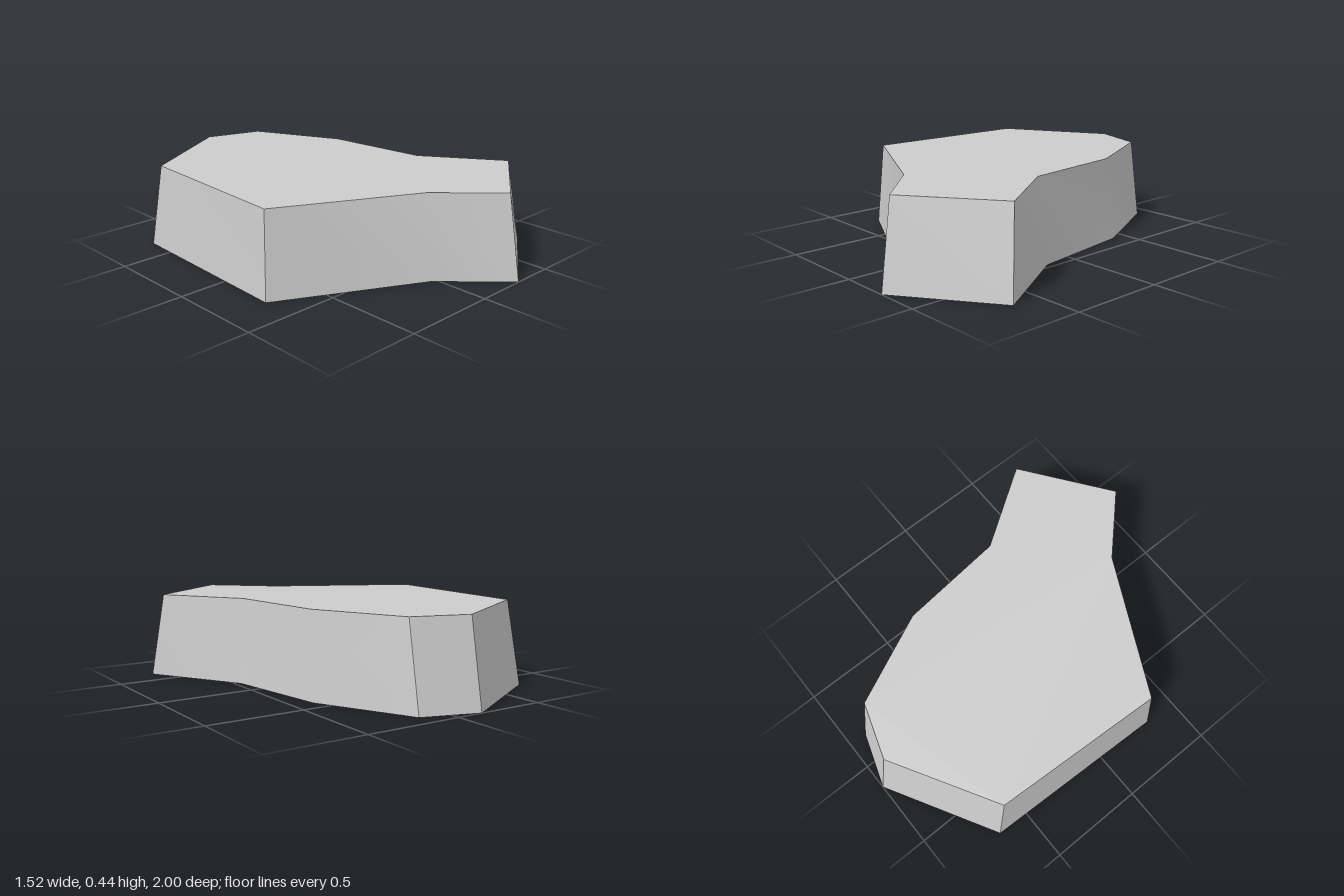
import * as THREE from 'three';
import { toCreasedNormals } from 'three/addons/utils/BufferGeometryUtils.js';

// Outline corners [x, z], clockwise seen from above
const BASE = [[-0.14, -1], [0.15, -0.905], [0.39, -0.41], [0.47, 0.165], [0.76, 0.655],
  [0.27, 1], [-0.03, 0.7], [-0.76, 0.325], [-0.72, -0.67]];
const RIM = [[-0.14, -0.918], [0.15, -0.825], [0.37, -0.36], [0.43, 0.195], [0.705, 0.6],
  [0.255, 0.93], [-0.03, 0.65], [-0.73, 0.295], [-0.68, -0.605]];
const HEIGHT = 0.443;

// Sloping band joining the base outline to the smaller top outline
function wallGeometry() {
  const positions = [];
  const low = (i) => [BASE[i][0], 0, BASE[i][1]];
  const high = (i) => [RIM[i][0], HEIGHT, RIM[i][1]];
  for (let i = 0; i < BASE.length; i++) {
    const j = (i + 1) % BASE.length;
    positions.push(...low(i), ...high(i), ...high(j), ...low(i), ...high(j), ...low(j));
  }
  const geometry = new THREE.BufferGeometry();
  geometry.setAttribute('position', new THREE.Float32BufferAttribute(positions, 3));
  // Gentle bends are smooth, the stronger corners stay sharp
  return toCreasedNormals(geometry, Math.PI / 6);
}

// Flat cover over the walls
function topGeometry() {
  const shape = new THREE.Shape(RIM.map(([x, z]) => new THREE.Vector2(x, -z)));
  return new THREE.ShapeGeometry(shape).rotateX(-Math.PI / 2).translate(0, HEIGHT, 0);
}

export function createModel() {
  const stone = new THREE.MeshStandardMaterial({ color: 0xcccccc, side: THREE.DoubleSide });
  stone.name = 'lightGrey';

  const model = new THREE.Group();
  model.name = 'plateau';

  // The shell is open underneath
  const walls = new THREE.Mesh(wallGeometry(), stone);
  walls.name = 'slopingWalls';
  const top = new THREE.Mesh(topGeometry(), stone);
  top.name = 'flatTop';

  model.add(walls, top);
  return model;
}
